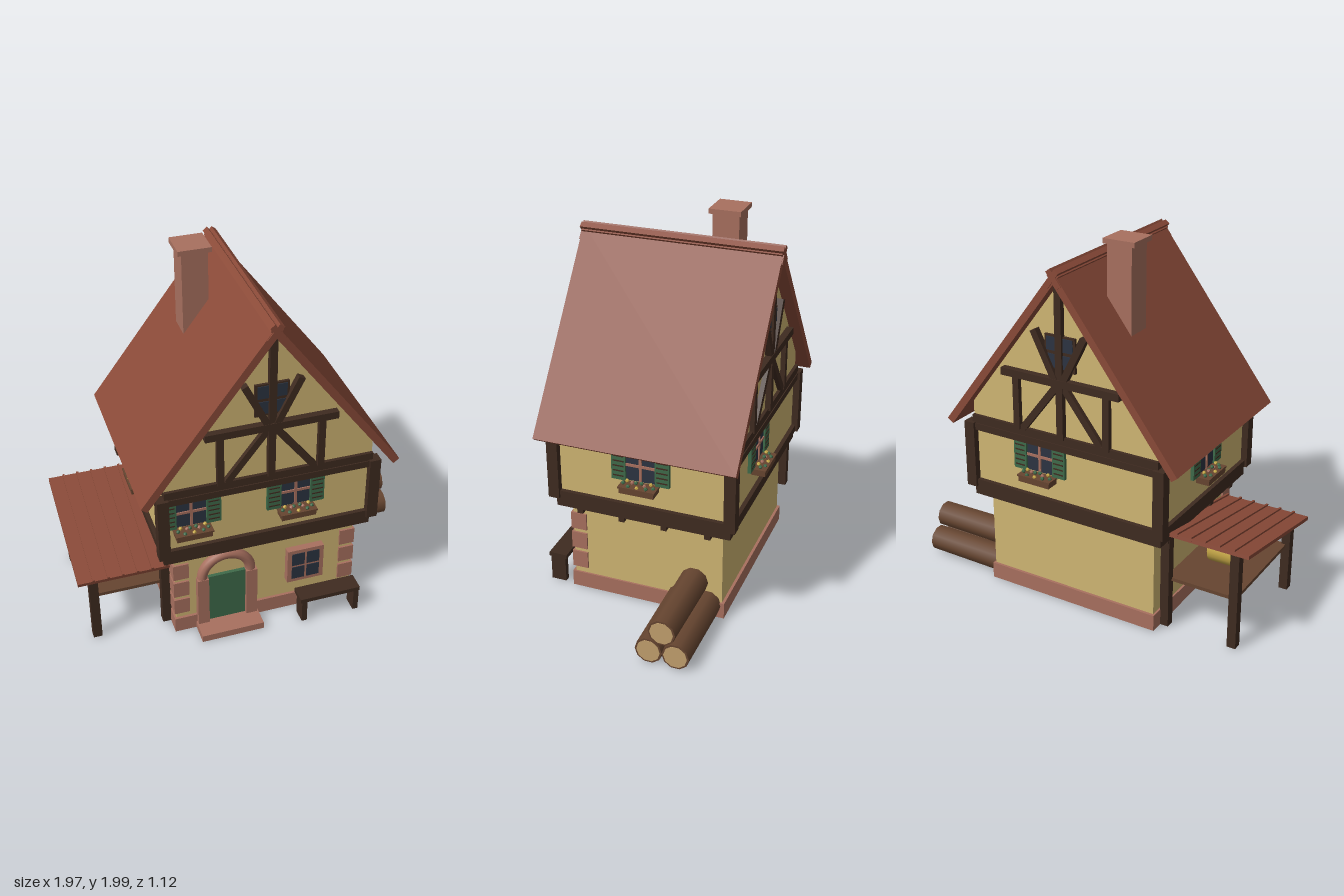
import * as THREE from 'three';

const material = (name, color, extra = {}) => {
  const m = new THREE.MeshStandardMaterial({ color, ...extra });
  m.name = name;
  return m;
};

export function createModel() {
  const plaster = material('plaster', 0xd0b673);
  const stone = material('stone', 0xa8705f);
  const tile = material('roofTile', 0x8a4a38);
  const timber = material('darkTimber', 0x3f2b20);
  const green = material('paintedGreen', 0x3f6b4a);
  const glass = material('windowGlass', 0x2c3442);
  const wood = material('brownWood', 0x664530);
  const cutWood = material('cutWood', 0xc2a06e);
  const straw = material('straw', 0xc9aa48);

  const group = (parent, name, x = 0, y = 0, z = 0, ry = 0) => {
    const g = new THREE.Group();
    g.name = name;
    g.position.set(x, y, z);
    g.rotation.y = ry;
    parent.add(g);
    return g;
  };
  const add = (parent, name, geo, mat) => {
    const m = new THREE.Mesh(geo, mat);
    m.name = name;
    parent.add(m);
    return m;
  };
  // box from its limits
  const box = (parent, name, mat, x0, x1, y0, y1, z0, z1) => {
    const m = add(parent, name, new THREE.BoxGeometry(x1 - x0, y1 - y0, z1 - z0), mat);
    m.position.set((x0 + x1) / 2, (y0 + y1) / 2, (z0 + z1) / 2);
    return m;
  };
  // box centred on the axes in x and z
  const block = (parent, name, mat, hx, y0, y1, hz) => box(parent, name, mat, -hx, hx, y0, y1, -hz, hz);
  // straight timber between two points of a facade
  const beam = (parent, name, x0, y0, x1, y1, w, d) => {
    const m = add(parent, name, new THREE.BoxGeometry(Math.hypot(x1 - x0, y1 - y0), w, d), timber);
    m.position.set((x0 + x1) / 2, (y0 + y1) / 2, d / 2);
    m.rotation.z = Math.atan2(y1 - y0, x1 - x0);
    return m;
  };

  const model = new THREE.Group();
  model.name = 'timberHouse';
  const house = group(model, 'house', 0.0125, 0, -0.0125);

  // ground floor
  block(house, 'plinth', stone, 0.51, 0.01, 0.1, 0.43);
  block(house, 'groundFloorWall', plaster, 0.5, 0.007, 0.55, 0.415);
  for (const s of [-1, 1])
    for (const y of [0.135, 0.255, 0.375]) {
      const q = box(house, 'quoin', stone, -0.0425, 0.0425, y, y + 0.097, 0.34, 0.427);
      q.position.x = s * 0.4675;
    }

  // upper floor with its frame
  block(house, 'sill', timber, 0.567, 0.54, 0.602, 0.474);
  block(house, 'upperWall', plaster, 0.56, 0.6, 0.97, 0.47);
  block(house, 'lowerRail', timber, 0.583, 0.6, 0.64, 0.493);
  block(house, 'upperRail', timber, 0.583, 0.93, 0.968, 0.493);
  block(house, 'atticBeam', timber, 0.555, 0.965, 1.012, 0.488);
  for (const s of [-1, 1]) {
    for (const t of [-1, 1]) {
      const p = block(house, 'cornerPost', timber, 0.03, 0.6, 0.972, 0.03);
      p.position.x = s * 0.566;
      p.position.z = t * 0.476;
    }
    for (const z of [0.352, 0.12, -0.112, -0.348]) {
      const j = block(house, 'joistEnd', timber, 0.035, 0.505, 0.545, 0.016);
      j.position.x = s * 0.517;
      j.position.z = z;
    }
  }

  // gable walls as one extruded pentagon
  const slope = 1.324, apex = 1.884;
  const gable = new THREE.Shape([[-0.555, 1], [0.555, 1], [0.555, 1.1], [0, 1.83], [-0.555, 1.1]]
    .map(([x, y]) => new THREE.Vector2(x, y)));
  add(house, 'gable', new THREE.ExtrudeGeometry(gable, { depth: 0.94, bevelEnabled: false }), plaster)
    .position.z = -0.47;

  // gable timbers and attic window, front and back
  for (const ry of [0, Math.PI]) {
    const g = group(house, 'gableFrame', 0, 0, ry ? -0.47 : 0.47, ry);
    beam(g, 'kingPost', 0, 1.0, 0, 1.82, 0.038, 0.03);
    beam(g, 'collarBeam', -0.345, 1.305, 0.345, 1.305, 0.04, 0.036);
    for (const s of [-1, 1]) {
      beam(g, 'stud', s * 0.265, 1.0, s * 0.265, 1.295, 0.036, 0.026);
      beam(g, 'lowerBrace', s * 0.23, 1.012, 0, 1.31, 0.036, 0.024);
      beam(g, 'upperBrace', s * 0.02, 1.31, s * 0.145, 1.56, 0.036, 0.034);
    }
    box(g, 'atticFrame', timber, -0.088, 0.088, 1.365, 1.547, 0, 0.014);
    for (const s of [-1, 1])
      for (const y of [1.38, 1.468])
        box(g, 'atticPane', glass, s * 0.043 - 0.033, s * 0.043 + 0.033, y, y + 0.07, 0.012, 0.018);
  }

  // roof slabs and crossed ridge boards
  const a = Math.atan(slope), t = 0.04, run = 0.683;
  for (const s of [-1, 1]) {
    const slab = add(house, 'roofSlab', new THREE.BoxGeometry(run / Math.cos(a), t, 1.065), tile);
    slab.position.set(s * (run / 2 - Math.sin(a) * t / 2), apex - run * slope / 2 - Math.cos(a) * t / 2, 0);
    slab.rotation.z = -s * a;
    const ridge = add(house, 'ridgeBoard', new THREE.BoxGeometry(0.1, 0.03, 1.077), tile);
    ridge.position.set(s * 0.006, 1.848, 0);
    ridge.rotation.z = -s * a;
  }

  // chimney
  box(model, 'chimney', stone, -0.257, -0.12, 1.25, 1.98, -0.272, -0.13);
  box(model, 'chimneyCap', stone, -0.278, -0.103, 1.974, 2, -0.285, -0.115);

  // shuttered windows with flower boxes
  const shutteredWindow = (x, z, ry) => {
    const w = group(house, 'shutteredWindow', x, 0.855, z, ry);
    box(w, 'pane', glass, -0.078, 0.078, -0.077, 0.078, -0.01, 0.008);
    box(w, 'mullion', stone, -0.007, 0.007, -0.077, 0.078, 0, 0.015);
    box(w, 'transom', stone, -0.078, 0.078, 0.004, 0.018, 0, 0.014);
    for (const s of [-1, 1]) {
      const shutter = group(w, 'shutter', s * 0.117);
      box(shutter, 'shutterBoard', green, -0.038, 0.038, -0.08, 0.08, 0, 0.018);
      for (let i = 0; i < 5; i++)
        box(shutter, 'shutterGap', timber, -0.029, 0.029, -0.06 + i * 0.028, -0.053 + i * 0.028, 0.01, 0.02);
    }
    box(w, 'flowerBox', wood, -0.093, 0.093, -0.122, -0.088, 0, 0.075);
    box(w, 'flowerBoxRim', wood, -0.099, 0.099, -0.094, -0.085, 0, 0.079);
    for (let i = 0; i < 11; i++) {
      const f = add(w, 'flower', new THREE.IcosahedronGeometry(0.011, 0), [green, straw, green, stone][i % 4]);
      f.position.set(-0.08 + i * 0.016, -0.075 + 0.008 * Math.sin(i * 2.3), 0.045 + 0.018 * Math.sin(i * 4.1));
    }
  };
  shutteredWindow(-0.417, 0.47, 0);
  shutteredWindow(0.138, 0.47, 0);
  shutteredWindow(0.138, -0.47, Math.PI);
  shutteredWindow(0.56, 0, Math.PI / 2);
  shutteredWindow(-0.56, 0, -Math.PI / 2);

  // arched door and step
  const door = group(model, 'door', -0.207, 0, 0.4);
  box(door, 'doorLeaf', green, -0.106, 0.106, 0.05, 0.355, 0, 0.022);
  for (const s of [-1, 1]) box(door, 'jamb', stone, s * 0.135 - 0.031, s * 0.135 + 0.031, 0.05, 0.357, 0, 0.042);
  const arch = add(door, 'arch', new THREE.TorusGeometry(0.134, 0.029, 10, 24, Math.PI), stone);
  arch.position.set(0, 0.353, 0.012);
  box(door, 'doorStep', stone, -0.173, 0.173, 0.01, 0.05, 0, 0.138);

  // ground floor window
  const low = group(model, 'groundFloorWindow', 0.233, 0.318, 0.4);
  box(low, 'windowFrame', stone, -0.103, 0.103, -0.108, 0.108, 0, 0.042);
  for (const s of [-1, 1])
    for (const u of [-1, 1])
      box(low, 'pane', glass, s * 0.042 - 0.036, s * 0.042 + 0.036, u * 0.046 - 0.04, u * 0.046 + 0.04, 0.036, 0.045);

  // bench
  box(model, 'benchSeat', timber, 0.167, 0.51, 0.152, 0.176, 0.46, 0.562);
  for (const x of [0.18, 0.48]) box(model, 'benchLeg', timber, x, x + 0.03, 0.01, 0.155, 0.468, 0.552);

  // stacked logs
  for (const [y, z] of [[0.08, -0.205], [0.08, -0.347], [0.204, -0.275]]) {
    const log = group(model, 'log', 0.695, y, z);
    log.rotation.z = -Math.PI / 2;
    add(log, 'bark', new THREE.CylinderGeometry(0.072, 0.077, 0.57, 10), wood);
    for (const s of [-1, 1])
      add(log, 'cutEnd', new THREE.CylinderGeometry(0.062, 0.062, 0.006, 10), cutWood).position.y = s * 0.285;
  }

  // side shelter
  const shelter = group(model, 'shelter');
  for (const x of [-0.905, -0.518])
    for (const [z, h] of [[0.3, 0.435], [-0.345, 0.555]])
      box(shelter, 'shelterPost', timber, x - 0.024, x + 0.024, 0.01, h, z - 0.024, z + 0.024);
  box(shelter, 'shelf', wood, -0.905, -0.51, 0.268, 0.287, -0.335, 0.29);
  const roof = group(shelter, 'shelterRoof', -0.745, 0.502, -0.0175);
  roof.rotation.x = Math.atan2(0.14, 0.755);
  block(roof, 'shelterSlab', tile, 0.245, -0.01, 0.01, 0.383);
  for (let i = 0; i < 6; i++)
    block(roof, 'shelterBatten', tile, 0.006, 0, 0.02, 0.384).position.x = -0.162 + i * 0.0785;
  const bale = add(shelter, 'strawRoll', new THREE.CylinderGeometry(0.08, 0.08, 0.15, 20), straw);
  bale.rotation.z = Math.PI / 2;
  bale.position.set(-0.71, 0.366, -0.05);

  return model;
}
